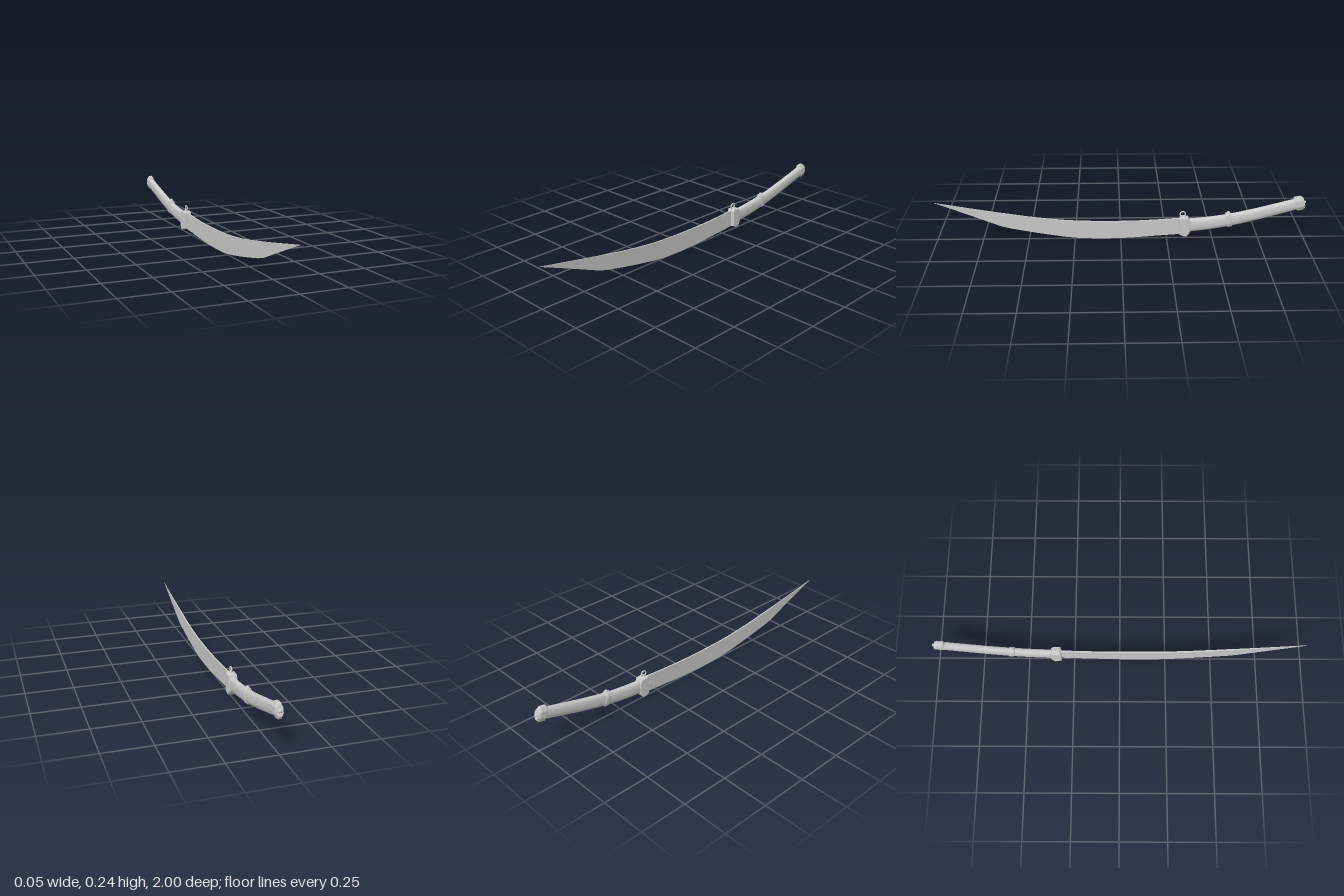
import * as THREE from 'three';
import { toCreasedNormals } from 'three/addons/utils/BufferGeometryUtils.js';

const material = new THREE.MeshStandardMaterial({ color: 0xcccccc });

function add(group, name, geometry) {
  const mesh = new THREE.Mesh(geometry, material);
  mesh.name = name;
  group.add(mesh);
  return mesh;
}

// Skin a list of closed rings (counter-clockwise from +z, running towards -z) and cap both ends
function loft(rings, crease = 0.6) {
  const n = rings[0].length, pos = [];
  const tri = (...pts) => pts.forEach(p => pos.push(p.x, p.y, p.z));
  for (let i = 0; i < rings.length - 1; i++) {
    for (let k = 0; k < n; k++) {
      const j = (k + 1) % n, [a, b, c, d] = [rings[i][k], rings[i + 1][k], rings[i + 1][j], rings[i][j]];
      tri(a, b, c);
      tri(a, c, d);
    }
  }
  const first = rings[0], last = rings[rings.length - 1];
  const mid = r => r.reduce((s, p) => s.add(p), new THREE.Vector3()).divideScalar(n);
  const c0 = mid(first), c1 = mid(last);
  for (let k = 0; k < n; k++) {
    const j = (k + 1) % n;
    tri(c0, first[k], first[j]);
    tri(c1, last[j], last[k]);
  }
  const g = new THREE.BufferGeometry();
  g.setAttribute('position', new THREE.Float32BufferAttribute(pos, 3));
  return toCreasedNormals(g, crease);
}

// Rounded grip section, tilted to stand square to the handle
function section(z, y, halfH, halfW, tilt, sides = 24, power = 0.75) {
  const soft = v => Math.sign(v) * Math.pow(Math.abs(v), power);
  return Array.from({ length: sides }, (_, k) => {
    const a = ((k + 0.5) / sides) * Math.PI * 2;
    const u = soft(Math.sin(a)) * halfH;
    return new THREE.Vector3(soft(Math.cos(a)) * halfW, y + u * Math.cos(tilt), z + u * Math.sin(tilt));
  });
}

export function createModel() {
  const sword = new THREE.Group();
  sword.name = 'curvedSword';

  // Blade: z, back edge y, cutting edge y, half thickness
  const blade = [
    [1, 0.221, 0.22, 0.0005], [0.9, 0.203, 0.181, 0.0015], [0.8, 0.185, 0.141, 0.002],
    [0.65, 0.159, 0.08, 0.003], [0.6, 0.151, 0.067, 0.004], [0.5, 0.135, 0.047, 0.004],
    [0.4, 0.122, 0.029, 0.004], [0.3, 0.112, 0.013, 0.004], [0.22, 0.107, 0.004, 0.004],
    [0.1, 0.104, 0.001, 0.004], [0, 0.104, 0.002, 0.004], [-0.1, 0.106, 0.008, 0.004],
    [-0.2, 0.111, 0.016, 0.004], [-0.34, 0.121, 0.026, 0.004],
  ];
  add(sword, 'blade', loft(blade.map(([z, top, low, w]) => [
    new THREE.Vector3(w, low, z), new THREE.Vector3(w, top, z),
    new THREE.Vector3(-w, top, z), new THREE.Vector3(-w, low, z),
  ]), 0.4));

  // Raised scrolls on both faces of the blade beside the guard
  const scrolls = [
    [[-0.245, 0.09], [-0.265, 0.108], [-0.29, 0.115], [-0.325, 0.118]],
    [[-0.265, 0.062], [-0.285, 0.05], [-0.3, 0.062], [-0.29, 0.076], [-0.275, 0.074]],
    [[-0.3, 0.085], [-0.31, 0.07], [-0.325, 0.066]],
  ];
  for (const side of [-1, 1]) {
    for (const pts of scrolls) {
      const path = new THREE.CatmullRomCurve3(pts.map(([z, y]) => new THREE.Vector3(side * 0.004, y, z)));
      add(sword, 'bladeScroll', new THREE.TubeGeometry(path, 16, 0.0018, 6));
    }
  }

  // Guard: chamfered block
  const outline = [[-0.322, 0.03], [-0.34, 0.021], [-0.357, 0.018], [-0.373, 0.042],
    [-0.374, 0.1], [-0.364, 0.122], [-0.328, 0.124], [-0.322, 0.116]];
  const guard = new THREE.ExtrudeGeometry(new THREE.Shape(outline.map(p => new THREE.Vector2(...p))),
    { depth: 0.036, bevelEnabled: true, bevelSize: 0.003, bevelThickness: 0.005, bevelSegments: 2 });
  guard.translate(0, 0, -0.018).rotateY(-Math.PI / 2);
  add(sword, 'guard', toCreasedNormals(guard, 0.5));

  // Hanging ring and its flared foot
  const ring = add(sword, 'guardRing', new THREE.TorusGeometry(0.0145, 0.004, 8, 24));
  ring.rotation.y = Math.PI / 2;
  ring.position.set(0, 0.143, -0.336);
  const foot = add(sword, 'ringFoot', new THREE.CylinderGeometry(0.006, 0.015, 0.008, 16));
  foot.position.set(0, 0.13, -0.34);

  // Handle follows a gentle upward curve
  const spine = new THREE.CatmullRomCurve3([[-0.36, 0.076], [-0.48, 0.089], [-0.6, 0.109],
    [-0.72, 0.137], [-0.85, 0.172], [-0.965, 0.204]].map(([z, y]) => new THREE.Vector3(0, y, z)));
  const rings = [];
  for (let i = 0; i <= 16; i++) {
    const t = i / 16, p = spine.getPoint(t), d = spine.getTangent(t);
    rings.push(section(p.z, p.y, 0.038 - 0.008 * t, 0.018, Math.atan2(d.y, -d.z)));
  }
  add(sword, 'handle', loft(rings));

  // Collar around the middle of the handle, with a raised crest
  add(sword, 'handleCollar', loft([
    section(-0.572, 0.104, 0.036, 0.019, 0.2), section(-0.576, 0.107, 0.042, 0.021, 0.2),
    section(-0.596, 0.11, 0.042, 0.021, 0.2), section(-0.602, 0.11, 0.036, 0.019, 0.2),
  ]));
  const crest = add(sword, 'collarCrest', new THREE.SphereGeometry(1, 16, 10));
  crest.scale.set(0.01, 0.012, 0.012);
  crest.position.set(0, 0.146, -0.583);

  // Faceted pommel with a round end boss
  add(sword, 'pommel', loft([
    section(-0.938, 0.197, 0.032, 0.018, 0.28, 8, 1), section(-0.946, 0.2, 0.043, 0.021, 0.28, 8, 1),
    section(-0.978, 0.207, 0.042, 0.021, 0.28, 8, 1), section(-0.99, 0.21, 0.03, 0.017, 0.28, 8, 1),
  ], 0.2));
  const boss = add(sword, 'pommelBoss', new THREE.SphereGeometry(0.009, 16, 10));
  boss.position.set(0, 0.21, -0.991);

  return sword;
}
